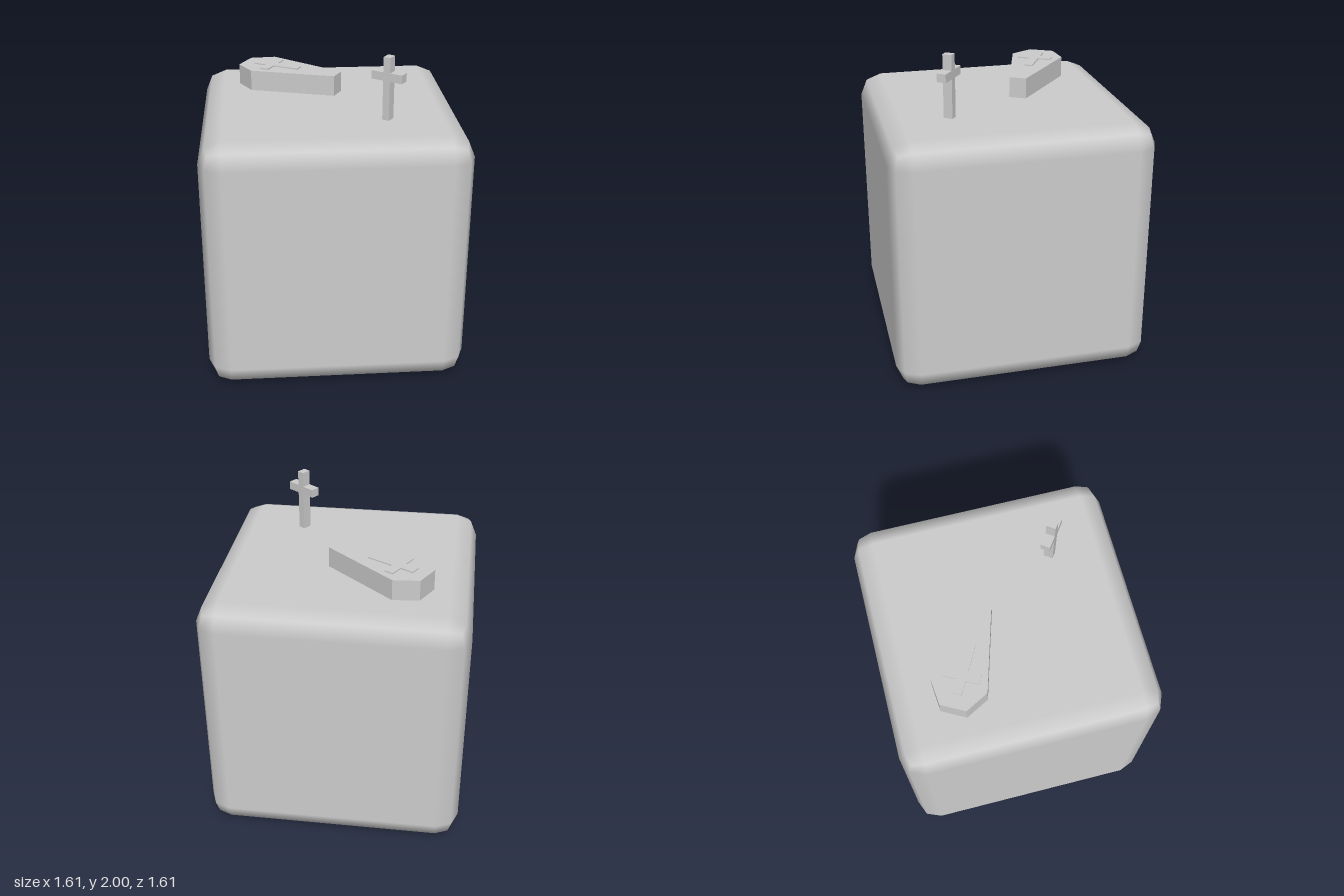
import * as THREE from 'three';
import { RoundedBoxGeometry } from 'three/addons/geometries/RoundedBoxGeometry.js';

const material = new THREE.MeshStandardMaterial({ color: 0xcccccc });

function addMesh(parent, name, geometry, x = 0, y = 0, z = 0) {
  const mesh = new THREE.Mesh(geometry, material);
  mesh.name = name;
  mesh.position.set(x, y, z);
  parent.add(mesh);
  return mesh;
}

// Upright prism whose outline is mirrored across its long axis
function mirroredPrism(half, height) {
  const other = half.map(([x, z]) => [x, -z]).reverse();
  const outline = [...half, ...other].map(([x, z]) => new THREE.Vector2(x, z));
  const geometry = new THREE.ExtrudeGeometry(new THREE.Shape(outline), { depth: height, bevelEnabled: false });
  return geometry.rotateX(-Math.PI / 2);
}

export function createModel() {
  const model = new THREE.Group();
  model.name = 'graveyardBlock';
  const size = 1.61;

  // Ground block with softly bevelled edges
  addMesh(model, 'groundBlock', new RoundedBoxGeometry(size, size, size, 1, 0.138), 0, size / 2, 0);

  // Coffin, with its head at the group origin and its foot along +x
  const coffin = new THREE.Group();
  coffin.name = 'coffin';
  coffin.position.set(-0.5275, size, -0.435);
  coffin.rotation.y = -0.498;
  model.add(coffin);
  const coffinHeight = 0.131;
  addMesh(coffin, 'coffinBody',
    mirroredPrism([[0, -0.08], [0.135, -0.169], [0.674, -0.054]], coffinHeight));

  // Thin raised cross on the lid
  const w = 0.03, arm = 0.11, mid = 0.2;
  addMesh(coffin, 'lidCross', mirroredPrism([
    [0.085, -w], [mid - w, -w], [mid - w, -arm], [mid + w, -arm], [mid + w, -w], [0.4, -w],
  ], 0.008), 0, coffinHeight, 0);

  // Standing grave marker
  const marker = new THREE.Group();
  marker.name = 'graveMarker';
  marker.position.set(0.328, size, 0.373);
  marker.rotation.y = -0.63;
  model.add(marker);
  const post = 0.39, postWidth = 0.045, depth = 0.058, armLength = 0.08;
  addMesh(marker, 'markerPost', new THREE.BoxGeometry(postWidth, post, depth), 0, post / 2, 0);
  for (const side of [-1, 1]) {
    addMesh(marker, side > 0 ? 'leftMarkerArm' : 'rightMarkerArm',
      new THREE.BoxGeometry(armLength, 0.052, depth), side * (postWidth + armLength) / 2, 0.27, 0);
  }

  return model;
}
